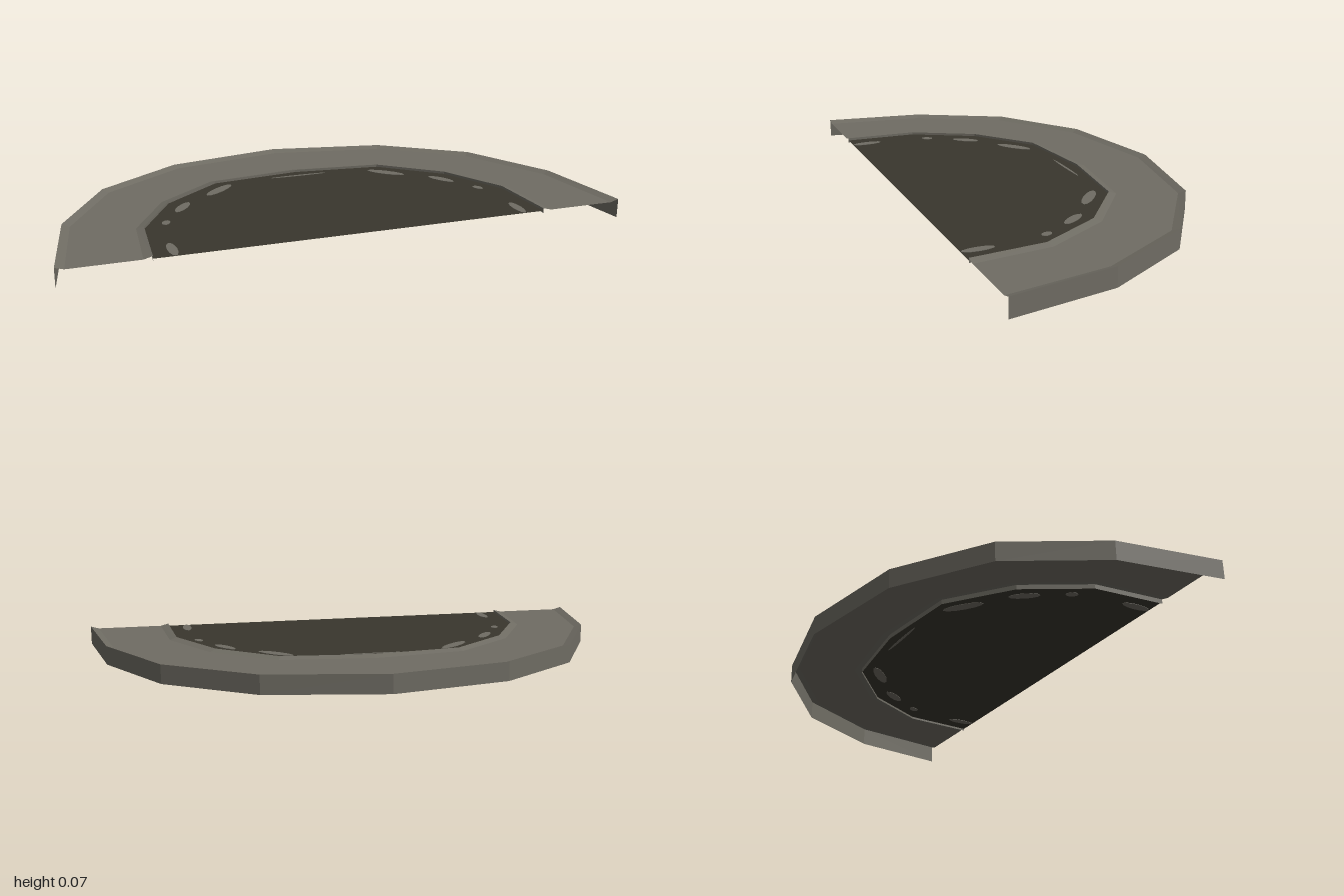
import * as THREE from 'three';

// Half outline of the outer and inner rim: [x, distance behind the straight front edge]
const OUTER = [[1, 0], [0.935, 0.38], [0.75, 0.708], [0.435, 0.923], [0, 1.006]];
const INNER = [[0.725, 0], [0.7, 0.28], [0.565, 0.52], [0.34, 0.695], [0, 0.737]];
const FRONT = 0.503;

// Full mirrored outline, blended from outer (t = 0) to inner (t = 1)
function outline(t) {
  const half = OUTER.map(([x, d], i) => [
    x + (INNER[i][0] - x) * t,
    FRONT - (d + (INNER[i][1] - d) * t),
  ]);
  return [...half, ...half.slice(0, -1).reverse().map(([x, z]) => [-x, z])];
}

// Strip of faces between two outlines at given heights
function strip(name, [tA, yA], [tB, yB], material) {
  const a = outline(tA), b = outline(tB), pos = [];
  for (let i = 0; i < a.length - 1; i++) {
    const p = [a[i][0], yA, a[i][1]], q = [a[i + 1][0], yA, a[i + 1][1]];
    const r = [b[i + 1][0], yB, b[i + 1][1]], s = [b[i][0], yB, b[i][1]];
    pos.push(...p, ...q, ...r, ...p, ...r, ...s);
  }
  const geo = new THREE.BufferGeometry();
  geo.setAttribute('position', new THREE.Float32BufferAttribute(pos, 3));
  geo.computeVertexNormals();
  const mesh = new THREE.Mesh(geo, material);
  mesh.name = name;
  return mesh;
}

export function createModel() {
  const group = new THREE.Group();
  group.name = 'halfRoundPlatform';
  const stone = new THREE.MeshStandardMaterial({ color: 0x6f6c63, side: THREE.DoubleSide, flatShading: true });
  stone.name = 'grey stone';
  const dark = new THREE.MeshStandardMaterial({ color: 0x39362d, side: THREE.DoubleSide, flatShading: true });
  dark.name = 'dark floor';

  // Rim: skirt, raised outer lip, flat walkway, raised inner lip and its drop
  const profile = [
    ['skirt', 0, 0],
    ['outerLip', 0, 0.07],
    ['walkway', 0.11, 0.061],
    ['innerLip', 1, 0.061],
    ['innerWall', 1.11, 0.069],
    ['', 1.11, 0.052],
  ];
  for (let i = 0; i < profile.length - 1; i++) {
    const [name, t, y] = profile[i], [, t2, y2] = profile[i + 1];
    group.add(strip(name, [t, y], [t2, y2], stone));
  }

  // Sunken floor
  const shape = new THREE.Shape(outline(1.11).map(([x, z]) => new THREE.Vector2(x, -z)));
  const floorGeo = new THREE.ShapeGeometry(shape);
  floorGeo.rotateX(-Math.PI / 2);
  const floor = new THREE.Mesh(floorGeo, dark);
  floor.name = 'floor';
  floor.position.y = 0.06;
  group.add(floor);

  // Pale flecks showing through both sides of the floor: x, z, half length, half width, turn
  const flecks = [
    [0.335, -0.085, 0.075, 0.02, -0.7],
    [0.505, 0.06, 0.055, 0.018, -0.95],
    [0.592, 0.197, 0.022, 0.014, -1.1],
    [0.622, 0.445, 0.057, 0.017, -1.57],
  ];
  const addFleck = (x, z, length, width, turn) => {
    const fleck = new THREE.Mesh(new THREE.CylinderGeometry(1, 1, 0.003, 12), stone);
    fleck.name = 'fleck';
    fleck.scale.set(length, 1, width);
    fleck.rotation.y = turn;
    fleck.position.set(x, 0.06, z);
    group.add(fleck);
  };
  for (const [x, z, l, w, turn] of flecks) {
    addFleck(x, z, l, w, turn);
    addFleck(-x, z, l, w, -turn);
  }
  addFleck(0, -0.158, 0.11, 0.005, 0);

  return group;
}
